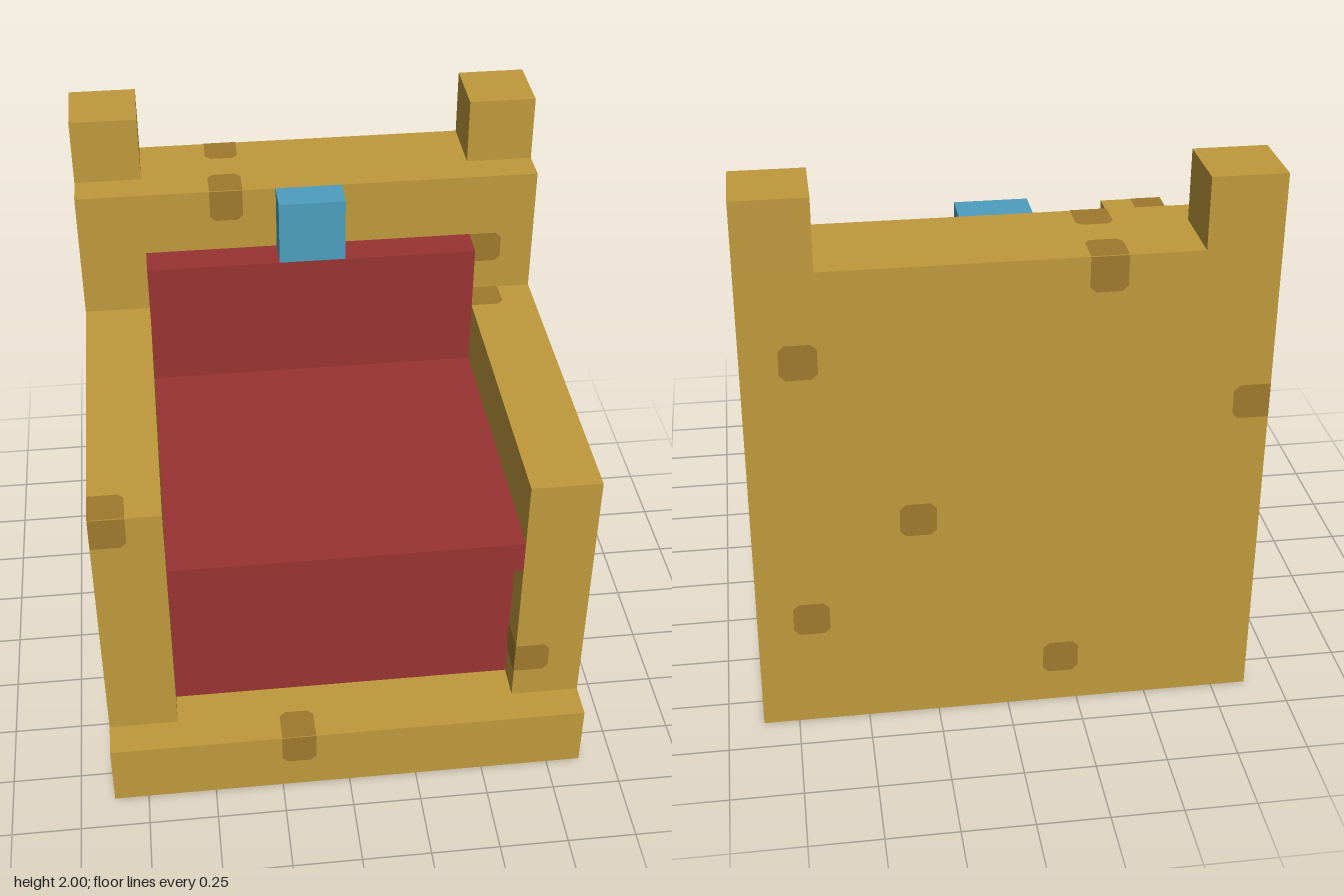
import * as THREE from 'three';

const mat = (name, color) => {
  const m = new THREE.MeshStandardMaterial({ color });
  m.name = name;
  return m;
};

export function createModel() {
  const gold = mat('gold', 0xbf993b);
  const darkGold = mat('dark gold', 0xa07a2d);
  const red = mat('red', 0x993333);
  const blue = mat('blue', 0x4c9fbf);
  const model = new THREE.Group();
  model.name = 'throne';

  // Box given by its minimum and maximum corners
  const block = (name, material, a, b) => {
    const mesh = new THREE.Mesh(new THREE.BoxGeometry(b[0] - a[0], b[1] - a[1], b[2] - a[2]), material);
    mesh.position.set((a[0] + b[0]) / 2, (a[1] + b[1]) / 2, (a[2] + b[2]) / 2);
    mesh.name = name;
    model.add(mesh);
  };

  // Frame
  block('base', gold, [-0.875, 0, -0.875], [0.875, 0.25, 0.875]);
  block('backrest', gold, [-0.875, 0.25, -0.875], [0.875, 1.75, -0.5]);
  for (const [side, x] of [['left', 0.625], ['right', -0.875]]) {
    block(side + 'Armrest', gold, [x, 0.25, -0.5], [x + 0.25, 1.25, 0.75]);
    block(side + 'BackPost', gold, [x, 1.75, -0.875], [x + 0.25, 2, -0.625]);
  }

  // Upholstery and jewel
  block('seatSupport', red, [-0.625, 0.25, -0.5], [0.625, 0.875, 0.625]);
  block('seatCushion', red, [-0.625, 0.875, -0.5], [0.625, 1, 0.75]);
  block('backCushion', red, [-0.625, 1, -0.5], [0.625, 1.5, -0.375]);
  block('jewel', blue, [-0.125, 1.5, -0.5], [0.125, 1.75, -0.375]);

  // Worn spot: a small square with cut corners, left square along the listed edges
  const spotGeometry = (edges) => {
    const h = 0.0625;
    const points = [];
    for (const [sx, sy] of [[-1, -1], [1, -1], [1, 1], [-1, 1]]) {
      const square = edges.includes(sx < 0 ? 'l' : 'r') || edges.includes(sy < 0 ? 'b' : 't');
      const c = square ? 0 : 0.02;
      const alongX = new THREE.Vector2(sx * (h - c), sy * h);
      const alongY = new THREE.Vector2(sx * h, sy * (h - c));
      if (square) points.push(alongX);
      else points.push(...(sx * sy > 0 ? [alongX, alongY].sort((p, q) => sx * (q.y - p.y) * -1) : [alongX, alongY].sort((p, q) => sx * (p.y - q.y))));
    }
    return new THREE.ShapeGeometry(new THREE.Shape(points));
  };

  // Rotation and outward normal of each facing
  const facings = {
    front: [0, 0, [0, 0, 1]],
    back: [0, Math.PI, [0, 0, -1]],
    left: [0, Math.PI / 2, [1, 0, 0]],
    right: [0, -Math.PI / 2, [-1, 0, 0]],
    top: [-Math.PI / 2, 0, [0, 1, 0]],
    bottom: [Math.PI / 2, 0, [0, -1, 0]],
  };
  const spots = {
    front: [
      [-0.3125, 1.6875, -0.5, 't'], [0.6875, 1.4375, -0.5, 'l'], [0.6875, 0.4375, 0.75, 'l'],
      [-0.8125, 1.1875, 0.75, 'tl'], [-0.1875, 0.1875, 0.875, 't'],
    ],
    top: [
      [-0.3125, 1.75, -0.5625, 'b'], [-0.3125, 1.75, -0.8125, 't'], [0.6875, 1.25, -0.4375, 'lt'],
      [-0.8125, 1.25, 0.6875, 'bl'], [-0.1875, 0.25, 0.8125, 'b'],
    ],
    back: [
      [0.6875, 1.4375, -0.875, ''], [0.3125, 0.8125, -0.875, ''], [0.6875, 0.4375, -0.875, ''],
      [-0.1875, 0.1875, -0.875, ''], [-0.3125, 1.6875, -0.875, 't'], [-0.8125, 1.1875, -0.875, 'r'],
    ],
    left: [[0.875, 0.8125, 0.3125, ''], [0.875, 0.1875, -0.1875, '']],
    right: [
      [-0.875, 0.8125, 0.3125, ''], [-0.875, 0.1875, -0.1875, ''], [-0.875, 1.1875, -0.8125, 'l'],
      [-0.875, 1.1875, 0.6875, 'tr'], [0.625, 0.4375, 0.6875, 'r'],
    ],
    bottom: [
      [0.6875, 0, -0.4375, ''], [0.6875, 0, 0.5625, ''], [-0.1875, 0, -0.1875, ''], [-0.3125, 0, 0.3125, ''],
    ],
  };
  for (const [facing, list] of Object.entries(spots)) {
    const [rx, ry, normal] = facings[facing];
    for (const [x, y, z, edges] of list) {
      const mesh = new THREE.Mesh(spotGeometry(edges), darkGold);
      mesh.rotation.set(rx, ry, 0);
      mesh.position.set(x, y, z).addScaledVector(new THREE.Vector3(...normal), 0.002);
      mesh.name = facing + 'Spot';
      model.add(mesh);
    }
  }
  return model;
}
